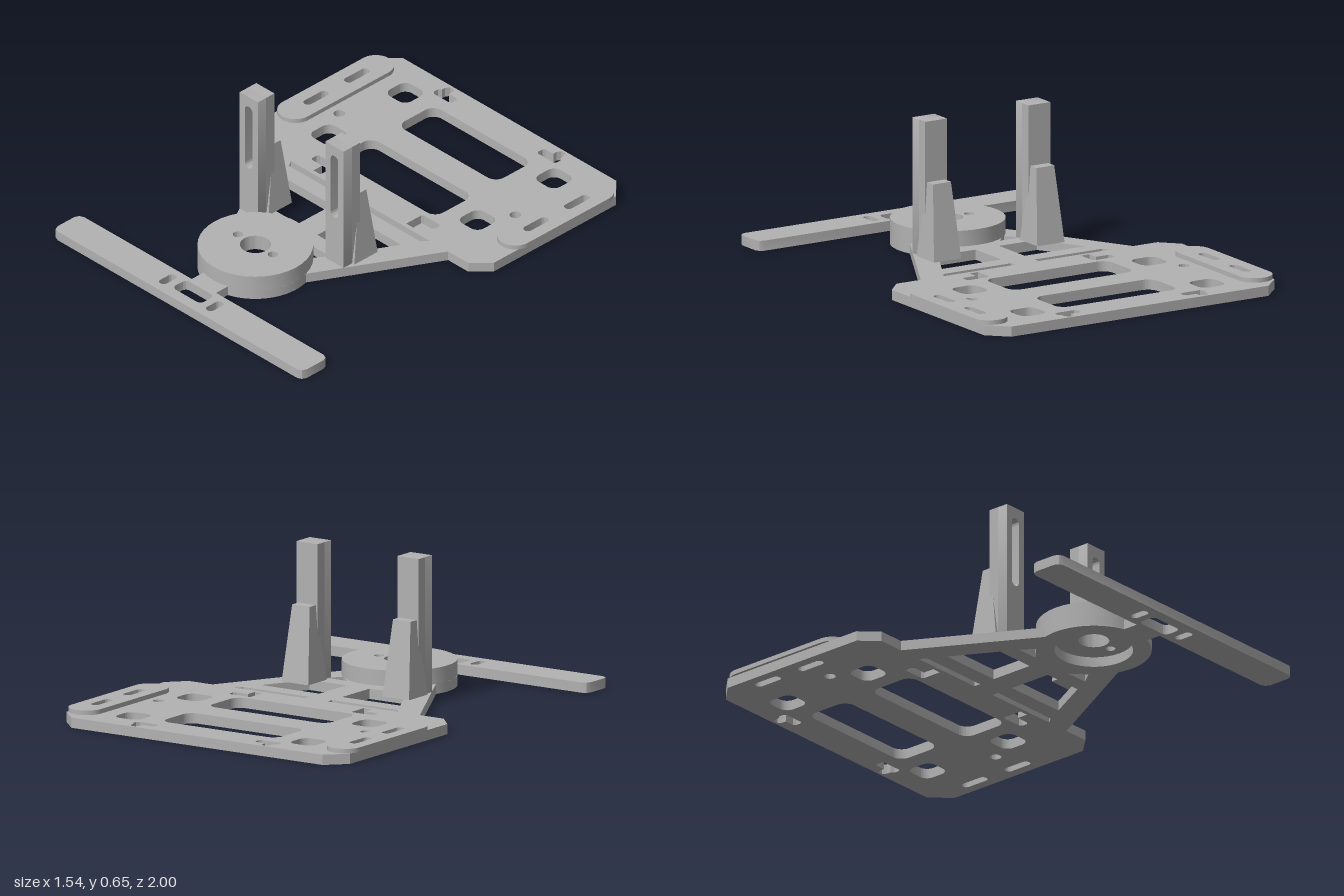
import * as THREE from 'three';
import { toCreasedNormals } from 'three/addons/utils/BufferGeometryUtils.js';

const grey = new THREE.MeshStandardMaterial({ color: 0xb2b2b2 });
grey.name = 'plain grey';

const T = 0.045; // plate thickness
const DISC_Z = 0.53;

// closed path from points
const poly = (pts) => new THREE.Shape(pts.map(([x, y]) => new THREE.Vector2(x, y)));

// rounded rectangle between two corners
function rounded(x0, y0, x1, y1, r) {
  const s = new THREE.Shape();
  s.moveTo(x0 + r, y0);
  s.lineTo(x1 - r, y0);
  s.absarc(x1 - r, y0 + r, r, -Math.PI / 2, 0);
  s.lineTo(x1, y1 - r);
  s.absarc(x1 - r, y1 - r, r, 0, Math.PI / 2);
  s.lineTo(x0 + r, y1);
  s.absarc(x0 + r, y1 - r, r, Math.PI / 2, Math.PI);
  s.lineTo(x0, y0 + r);
  s.absarc(x0 + r, y0 + r, r, Math.PI, Math.PI * 1.5);
  return s;
}

function circle(x, y, r) {
  const s = new THREE.Shape();
  s.absarc(x, y, r, 0, Math.PI * 2);
  return s;
}

function extrude(shape, depth) {
  return new THREE.ExtrudeGeometry(shape, { depth, bevelEnabled: false, curveSegments: 20 });
}

// horizontal slab from a shape drawn in (x, z)
function slab(shape, y0, y1) {
  const g = extrude(shape, y1 - y0);
  g.rotateX(Math.PI / 2).translate(0, y1, 0);
  return toCreasedNormals(g, 0.5);
}

function mesh(name, geometry, parent) {
  const m = new THREE.Mesh(geometry, grey);
  m.name = name;
  parent.add(m);
  return m;
}

// two slots of a side pad, shared by pad and plate
const padSlots = (s) => [-0.81, -0.565].map((z) =>
  rounded(s * 0.68 - 0.02, z, s * 0.68 + 0.02, z + 0.135, 0.019));

function basePlate() {
  const half = [[0.66, -1], [0.745, -0.915], [0.745, -0.18], [0.67, -0.1], [0.545, -0.1]];
  // follow the round disc seat down to the neck
  const a0 = Math.atan2(-0.07, 0.24), a1 = Math.acos(0.075 / 0.25);
  for (let i = 0; i <= 16; i++) {
    const a = a0 + (a1 - a0) * i / 16;
    half.push([0.25 * Math.cos(a), DISC_Z + 0.25 * Math.sin(a)]);
  }
  half.push([0.075, 0.84], [0.74, 0.84], [0.761, 0.849], [0.77, 0.87],
    [0.77, 0.97], [0.761, 0.991], [0.74, 1]);
  const plate = poly([...half, ...half.map(([x, z]) => [-x, z]).reverse()]);

  // central openings
  plate.holes.push(
    rounded(-0.305, -0.84, 0.305, -0.62, 0.05),
    rounded(-0.315, -0.475, 0.315, -0.245, 0.05),
    rounded(-0.088, 0.862, 0.088, 0.947, 0.025),
    circle(0, DISC_Z, 0.17));

  // mirrored openings
  for (const s of [-1, 1]) {
    const m = (pts) => poly(pts.map(([x, z]) => [s * x, z]));
    plate.holes.push(
      ...padSlots(s),
      rounded(s * 0.46 - 0.065, -0.885, s * 0.46 + 0.065, -0.755, 0.04),
      rounded(s * 0.46 - 0.065, -0.425, s * 0.46 + 0.065, -0.295, 0.04),
      circle(s * 0.545, -0.505, 0.025),
      rounded(s * 0.145 - 0.02, 0.872, s * 0.145 + 0.02, 0.96, 0.019),
      // rear keyholes
      m([[0.265, -0.94], [0.275, -0.95], [0.322, -0.95], [0.322, -0.97], [0.333, -0.988],
        [0.355, -0.988], [0.367, -0.97], [0.367, -0.95], [0.38, -0.94], [0.38, -0.915],
        [0.37, -0.904], [0.275, -0.904], [0.265, -0.915]]),
      // hooked slots
      m([[0.265, -0.21], [0.275, -0.218], [0.37, -0.218], [0.38, -0.208], [0.38, -0.182],
        [0.37, -0.172], [0.308, -0.172], [0.308, -0.12], [0.265, -0.12]]),
      // truss openings
      m([[0.06, -0.1], [0.43, -0.1], [0.405, -0.068], [0.06, -0.068]]),
      m([[0.06, 0.01], [0.365, 0.01], [0.255, 0.215], [0.06, 0.215]]),
      m([[0.11, 0.29], [0.217, 0.29], [0.172, 0.35]]));
  }
  return slab(plate, 0, T);
}

// tapered brace: four-sided block with a smaller top
function brace() {
  const g = new THREE.BoxGeometry(1, 1, 1);
  const p = g.attributes.position;
  for (let i = 0; i < p.count; i++) {
    const top = p.getY(i) > 0, back = p.getZ(i) < 0;
    p.setXYZ(i, Math.sign(p.getX(i)) * (top ? 0.046 : 0.07), top ? 0.38 : T,
      back ? (top ? 0.165 : 0.12) : (top ? 0.212 : 0.26));
  }
  g.computeVertexNormals();
  return g;
}

export function createModel() {
  const model = new THREE.Group();
  model.name = 'mounting frame';
  mesh('basePlate', basePlate(), model);

  // round disc with centre bore and two pin holes
  const disc = circle(0, DISC_Z, 0.25);
  disc.holes.push(circle(0, DISC_Z, 0.067), circle(0.108, DISC_Z, 0.022), circle(-0.108, DISC_Z, 0.022));
  mesh('disc', slab(disc, T, 0.115), model);

  for (const s of [-1, 1]) {
    const side = s > 0 ? 'left' : 'right';

    // raised side pad
    const pad = rounded(s * 0.68 - 0.078, -0.935, s * 0.68 + 0.078, -0.295, 0.077);
    pad.holes.push(...padSlots(s));
    mesh(side + 'Pad', slab(pad, T, 0.065), model);

    // upright post with a slot recessed into its front
    const post = new THREE.Group();
    post.name = side + 'Post';
    post.position.x = s * 0.265;
    const face = rounded(-0.056, T, 0.056, 0.65, 0.0005);
    face.holes.push(rounded(-0.023, 0.28, 0.023, 0.6, 0.0225));
    mesh('postFront', toCreasedNormals(extrude(face, 0.05), 0.5), post).position.z = 0.262;
    const core = new THREE.BoxGeometry(0.112, 0.65 - T, 0.05);
    mesh('postBack', core, post).position.set(0, (0.65 + T) / 2, 0.237);
    mesh('brace', brace(), post);
    model.add(post);
  }
  return model;
}
